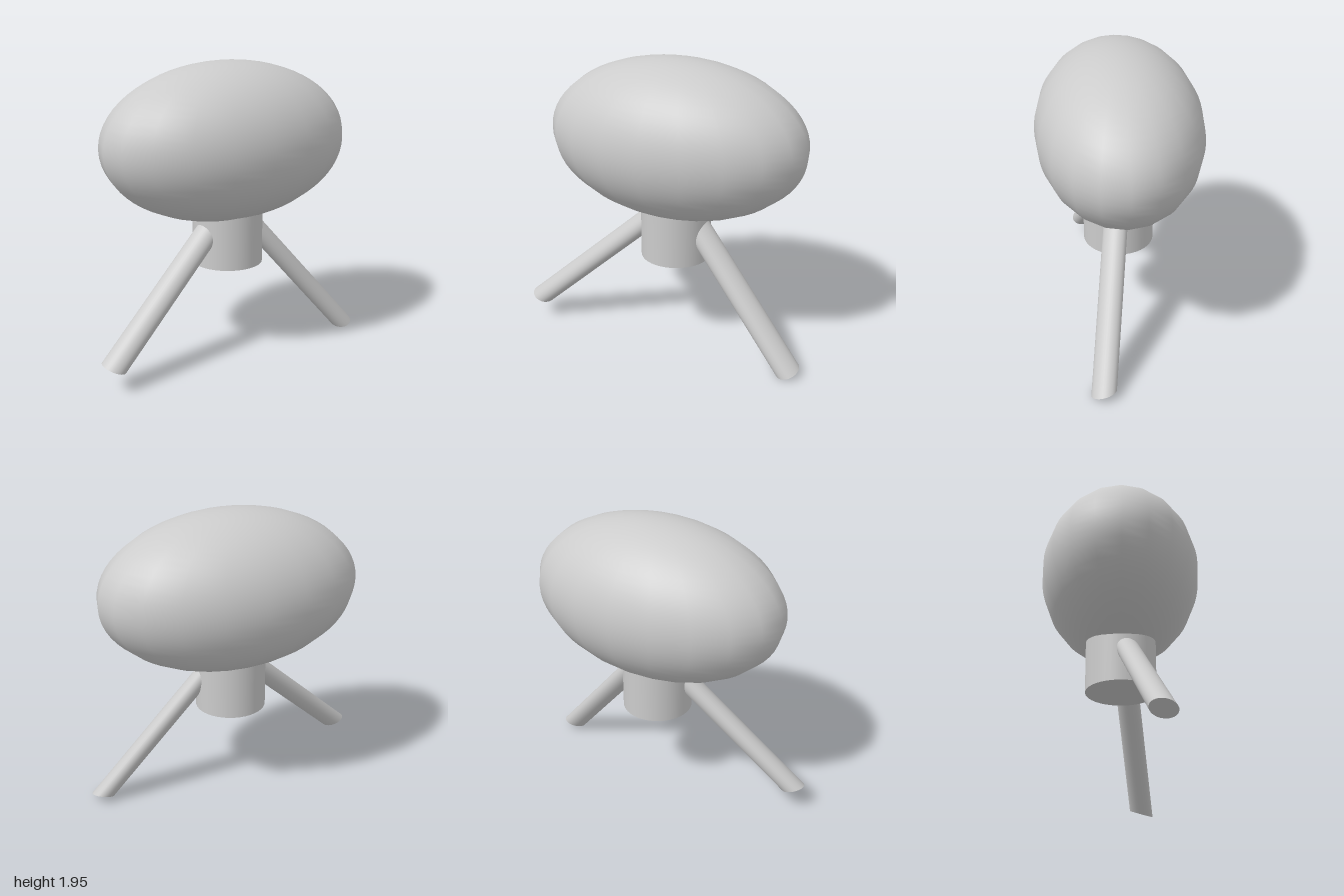
import * as THREE from 'three';

const material = new THREE.MeshStandardMaterial({ color: 0xcccccc });

function addPart(group, name, geometry) {
  const mesh = new THREE.Mesh(geometry, material);
  mesh.name = name;
  group.add(mesh);
  return mesh;
}

// Round leg from its foot up along an axis; u and w are the half-axes of its slanted end caps.
function legGeometry(foot, axis, u, w) {
  const basis = new THREE.Matrix4().makeBasis(
    new THREE.Vector3(...u),
    new THREE.Vector3(...axis),
    new THREE.Vector3(...w)
  );
  return new THREE.CylinderGeometry(1, 1, 1, 32)
    .translate(0, 0.5, 0)
    .applyMatrix4(basis)
    .translate(...foot);
}

export function createModel() {
  const group = new THREE.Group();
  group.name = 'model';

  // Egg-shaped body, stretched sideways
  const body = addPart(group, 'body', new THREE.SphereGeometry(1, 20, 32));
  body.scale.set(0.882, 0.52, 0.537);
  body.position.set(0.035, 1.435, 0);

  // Short neck sunk into the underside of the body
  const neck = addPart(group, 'neck', new THREE.CylinderGeometry(0.234, 0.234, 0.4, 40));
  neck.position.set(0.038, 0.815, 0.005);

  // Splayed legs, leaning forward and ending at different heights
  addPart(group, 'leftLeg', legGeometry(
    [0.925, 0.03, 0.163], [-0.775, 0.9, -0.14], [0.073, 0.02, 0], [0, -0.022, 0.081]));
  addPart(group, 'rightLeg', legGeometry(
    [-0.928, 0.154, 0.218], [0.83, 0.74, -0.18], [0.072, -0.03, 0], [0, -0.01, 0.081]));

  return group;
}
